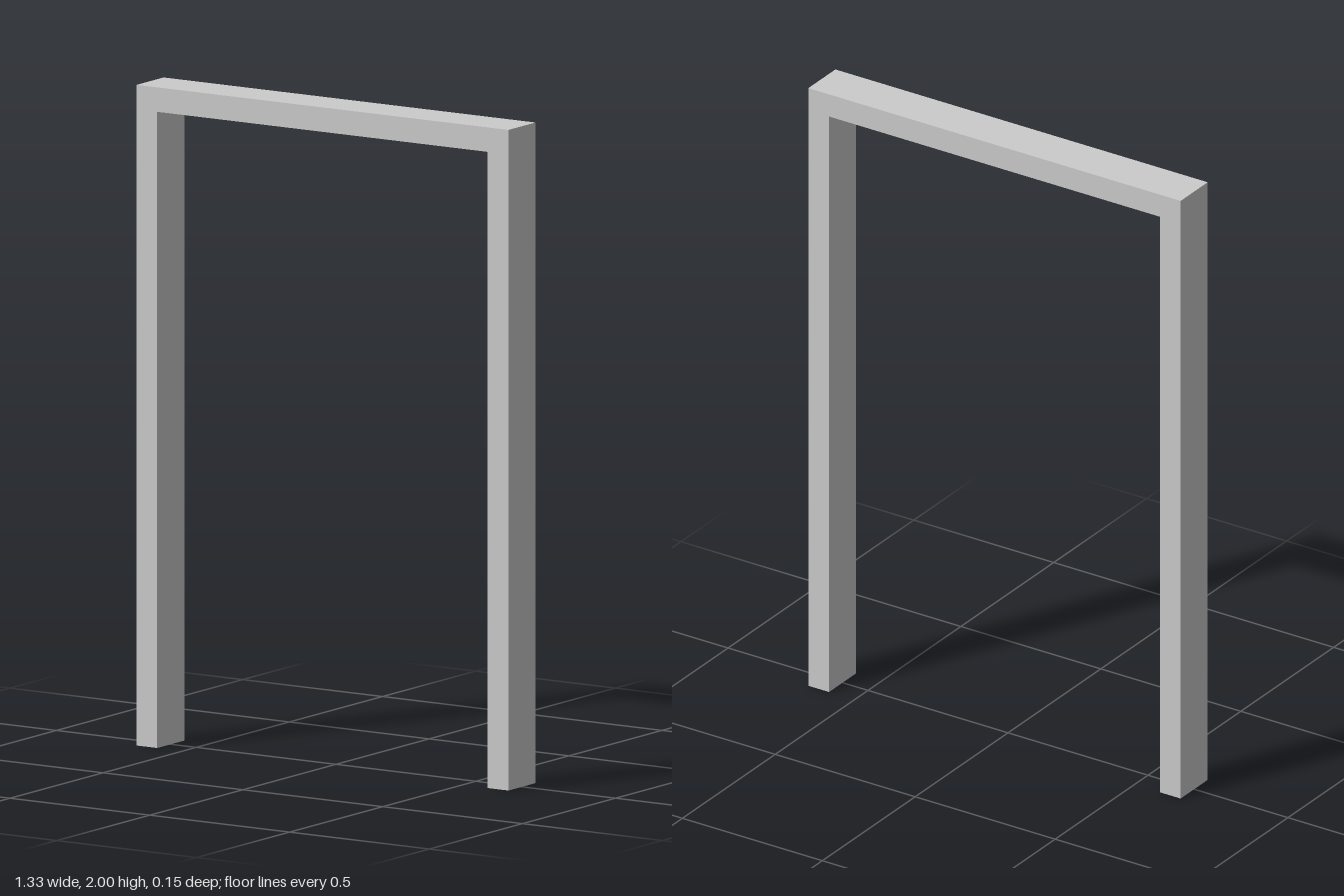
import * as THREE from 'three';

const HALF_WIDTH = 0.665, HEIGHT = 2, THICKNESS = 0.074, DEPTH = 0.146;

// Drop the triangles lying on the floor, leaving the hollow post ends open
function openBottom(geometry) {
  const source = geometry.index ? geometry.toNonIndexed() : geometry;
  const p = source.attributes.position;
  const kept = [];
  for (let i = 0; i < p.count; i += 3) {
    const top = Math.max(p.getY(i), p.getY(i + 1), p.getY(i + 2));
    if (top > 1e-5) kept.push(i, i + 1, i + 2);
  }
  source.clearGroups();
  source.setIndex(kept);
  return source;
}

export function createModel() {
  const group = new THREE.Group();
  group.name = 'doorway';

  // Two posts and a lintel as one continuous outline
  const inner = HALF_WIDTH - THICKNESS, under = HEIGHT - THICKNESS;
  const outline = new THREE.Shape([
    [-HALF_WIDTH, 0], [-inner, 0], [-inner, under], [inner, under],
    [inner, 0], [HALF_WIDTH, 0], [HALF_WIDTH, HEIGHT], [-HALF_WIDTH, HEIGHT],
  ].map(([x, y]) => new THREE.Vector2(x, y)));

  const geometry = new THREE.ExtrudeGeometry(outline, { depth: DEPTH, bevelEnabled: false });
  geometry.translate(0, 0, -DEPTH / 2);

  const frame = new THREE.Mesh(
    openBottom(geometry),
    new THREE.MeshStandardMaterial({ color: 0xcccccc, side: THREE.DoubleSide }),
  );
  frame.name = 'doorFrame';
  group.add(frame);
  return group;
}
